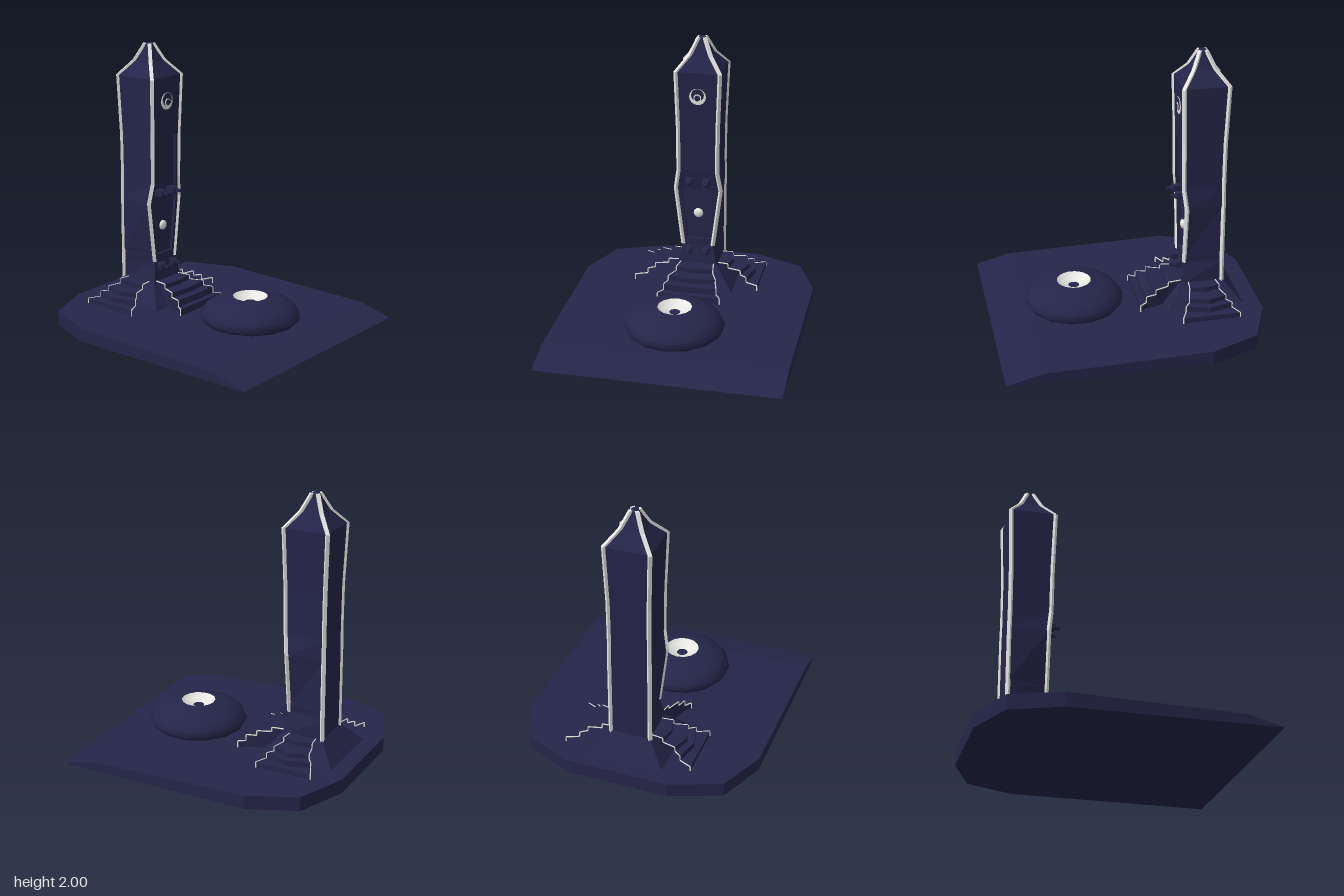
import * as THREE from 'three';

const navy = new THREE.MeshStandardMaterial({ color: 0x25254a });
navy.name = 'dark navy';
const white = new THREE.MeshStandardMaterial({ color: 0xe8e8e4 });
white.name = 'white trim';

const TZ = -0.57; // tower centre in z

// Collects flat quads, corners counter-clockwise from outside
function quads(list) {
  const pos = [];
  for (const [a, b, c, d] of list) pos.push(...a, ...b, ...c, ...a, ...c, ...d);
  const g = new THREE.BufferGeometry();
  g.setAttribute('position', new THREE.Float32BufferAttribute(pos, 3));
  g.computeVertexNormals();
  return g;
}

// Quads joining four-cornered rings, with both ends closed; skip leaves out one side
function loft(rings, skip = -1) {
  const out = [];
  for (let r = 0; r + 1 < rings.length; r++) {
    const a = rings[r], b = rings[r + 1];
    for (let i = 0; i < 4; i++) {
      const j = (i + 1) % 4;
      if (i !== skip) out.push([a[i], a[j], b[j], b[i]]);
    }
  }
  out.push([...rings[0]].reverse(), rings[rings.length - 1]);
  return out;
}

function add(parent, name, geometry, material, x = 0, y = 0, z = 0) {
  const m = new THREE.Mesh(geometry, material);
  m.name = name;
  m.position.set(x, y, z);
  parent.add(m);
  return m;
}

// Tower rows: y, front half width, front z, back half width, panel half width
const ROWS = [
  [0.23, 0.152, -0.41, 0.15, 0],
  [0.40, 0.115, -0.44, 0.15, 0],
  [0.45, 0.122, -0.44, 0.15, 0.08],
  [0.85, 0.172, -0.44, 0.15, 0.13],
  [1.00, 0.148, -0.422, 0.148, 0.108],
  [1.33, 0.15, -0.418, 0.15, 0.105],
  [1.77, 0.165, -0.405, 0.165, 0],
  [1.87, 0.08, -0.49, 0.08, 0],
  [1.935, 0.05, -0.52, 0.05, 0],
  [1.99, 0.026, -0.544, 0.026, 0],
];

function towerBody() {
  const rings = ROWS.map(([y, w, z, b]) =>
    [[-w, y, z], [w, y, z], [b, y, TZ - b], [-b, y, TZ - b]]);
  const list = loft(rings, 0);
  const depth = 0.02;
  for (let r = 0; r + 1 < ROWS.length; r++) {
    const [ya, wa, za, , pa] = ROWS[r], [yb, wb, zb, , pb] = ROWS[r + 1];
    const A = (x, d = 0) => [x, ya, za - d], B = (x, d = 0) => [x, yb, zb - d];
    if (pa && pb) {
      list.push([A(-wa), A(-pa), B(-pb), B(-wb)], [A(pa), A(wa), B(wb), B(pb)]);
      list.push([A(-pa, depth), A(pa, depth), B(pb, depth), B(-pb, depth)]);
      list.push([A(-pa), A(-pa, depth), B(-pb, depth), B(-pb)]);
      list.push([A(pa, depth), A(pa), B(pb), B(pb, depth)]);
    } else {
      list.push([A(-wa), A(wa), B(wb), B(-wb)]);
      if (pb) list.push([B(-pb), B(pb), B(pb, depth), B(-pb, depth)]); // panel sill
      if (pa) list.push([A(-pa, depth), A(pa, depth), A(pa), A(-pa)]); // panel head
    }
  }
  return quads(list);
}

// Light strip along one corner of the tower
function cornerStrip(sx, sz) {
  const ox = sx * Math.SQRT1_2, oz = sz * Math.SQRT1_2;
  const rows = sz > 0 ? ROWS.slice(1) : ROWS;
  return quads(loft(rows.map(([y, w, z, b]) => {
    const cx = sx * (sz > 0 ? w : b), cz = sz > 0 ? z : TZ - b;
    const p = (o, t) => [cx + ox * o + oz * t, y + (y > 1.8 ? 0.006 : 0), cz + oz * o - ox * t];
    return [p(0.007, -0.013), p(0.007, 0.013), p(-0.016, 0.013), p(-0.016, -0.013)];
  })));
}

// Flight of steps running out along +z. Steps: distance, half width, height, bow
function stairs(name, steps, inner, walls) {
  const g = new THREE.Group();
  g.name = name;
  const rows = [];
  let y = 0.09;
  for (const [d, w, top, bow] of steps) {
    rows.push([d, w, y, bow], [d, w, top, bow]);
    y = top;
  }
  rows.push([inner[0], inner[1], y, 0]);
  const list = [];
  for (let i = 0; i + 1 < rows.length; i++) {
    const [da, wa, ya, ba] = rows[i], [db, wb, yb, bb] = rows[i + 1];
    const La = [-wa, ya, da], Ma = [0, ya, da + ba], Ra = [wa, ya, da];
    const Lb = [-wb, yb, db], Mb = [0, yb, db + bb], Rb = [wb, yb, db];
    list.push([La, Ma, Mb, Lb], [Ma, Ra, Rb, Mb]);
    if (walls && da !== db) {
      list.push([[wa, 0.09, da], [wb, 0.09, db], Rb, Ra]);
      list.push([[-wb, 0.09, db], [-wa, 0.09, da], La, Lb]);
    }
  }
  add(g, 'steps', quads(list), navy);
  for (const s of [-1, 1]) {
    const path = new THREE.CatmullRomCurve3(
      rows.map(([d, w, h]) => new THREE.Vector3(s * w, h, d)), false, 'catmullrom', 0);
    add(g, 'stepTrim', new THREE.TubeGeometry(path, 60, 0.005, 4), white);
  }
  g.position.z = TZ;
  return g;
}

const lathe = (pts, n) => new THREE.LatheGeometry(pts.map(p => new THREE.Vector2(...p)), n);

export function createModel() {
  const model = new THREE.Group();
  model.name = 'towerMonument';

  // Base slab with a ramped front: z, half width, height, from back to front
  const slab = [[-0.975, 0.37, 0.105], [-0.83, 0.735, 0.105], [-0.48, 0.88, 0.1],
    [0.72, 0.88, 0.07], [0.975, 0.88, 0.002]];
  add(model, 'baseSlab', quads(loft(slab.map(([z, w, h]) =>
    [[-w, 0, z], [w, 0, z], [w, h, z], [-w, h, z]]))), navy);

  // Tower with its flared foot, corner strips and tip
  const tower = new THREE.Group();
  tower.name = 'tower';
  model.add(tower);
  add(tower, 'towerBody', towerBody(), navy);
  add(tower, 'flaredFoot', quads(loft([[0.09, 0.295], [0.25, 0.152]].map(([y, w]) =>
    [[-w, y, TZ + w], [w, y, TZ + w], [w, y, TZ - w], [-w, y, TZ - w]]))), navy);
  add(tower, 'tip', lathe([[0.038, 1.96], [0.036, 1.985], [0.025, 2], [0, 2]], 8), navy, 0, 0, TZ);
  for (const sx of [-1, 1]) for (const sz of [-1, 1]) {
    add(tower, 'cornerStrip', cornerStrip(sx, sz), white);
  }

  // Round emblem of stacked thin discs
  [[0.062, 1.592, white], [0.047, 1.605, navy], [0.029, 1.584, white], [0.021, 1.584, navy]]
    .forEach(([r, y, mat], i) => {
      const disc = new THREE.CylinderGeometry(r, r, 0.008, 16).rotateX(Math.PI / 2);
      add(tower, 'emblemDisc', disc, mat, 0, y, -0.409 + i * 0.004);
    });

  // Knob on the panel
  const knob = add(tower, 'panelKnob', new THREE.SphereGeometry(0.037, 10, 8), white, 0, 0.655, -0.458);
  knob.scale.z = 0.6;

  // Four pegs with narrow heads
  for (const y of [0.92, 0.365]) for (const x of [-0.065, 0.065]) {
    const peg = new THREE.Group();
    peg.name = 'peg';
    peg.position.set(x, y, 0);
    add(peg, 'pegBlock', new THREE.BoxGeometry(0.05, 0.046, 0.07), navy, 0, 0, -0.425);
    const taper = new THREE.CylinderGeometry(0.014, 0.033, 0.02, 4).rotateY(Math.PI / 4).rotateX(Math.PI / 2);
    add(peg, 'pegTaper', taper, navy, 0, 0, -0.38);
    add(peg, 'pegHead', new THREE.BoxGeometry(0.024, 0.02, 0.03), navy, 0, 0, -0.36);
    tower.add(peg);
  }

  // Front and side stairs
  model.add(stairs('frontStairs', [[0.475, 0.235, 0.14, 0], [0.425, 0.2, 0.188, 0.01],
    [0.35, 0.18, 0.225, 0.02], [0.25, 0.14, 0.258, 0.02]], [0.12, 0.12], true));
  for (const s of [-1, 1]) {
    const side = stairs(s < 0 ? 'rightStairs' : 'leftStairs', [[0.47, 0.21, 0.14, 0],
      [0.38, 0.17, 0.18, 0.045], [0.33, 0.135, 0.215, 0.045], [0.23, 0.11, 0.25, 0.025]], [0.14, 0.1], false);
    side.rotation.y = s * Math.PI / 2;
    model.add(side);
  }

  // Rounded dome with a pale bowl on top
  const dome = new THREE.Group();
  dome.name = 'dome';
  dome.position.z = 0.355;
  model.add(dome);
  add(dome, 'domeShell', lathe([[0.22, 0.065], [0.28, 0.08], [0.335, 0.1], [0.36, 0.135], [0.345, 0.175],
    [0.305, 0.22], [0.22, 0.258], [0.125, 0.28]], 14), navy);
  add(dome, 'domeBowl', lathe([[0.125, 0.28], [0.095, 0.255], [0.04, 0.238]], 14), white);
  add(dome, 'bowlCentre', lathe([[0.04, 0.238], [0, 0.238]], 14), navy);

  return model;
}
